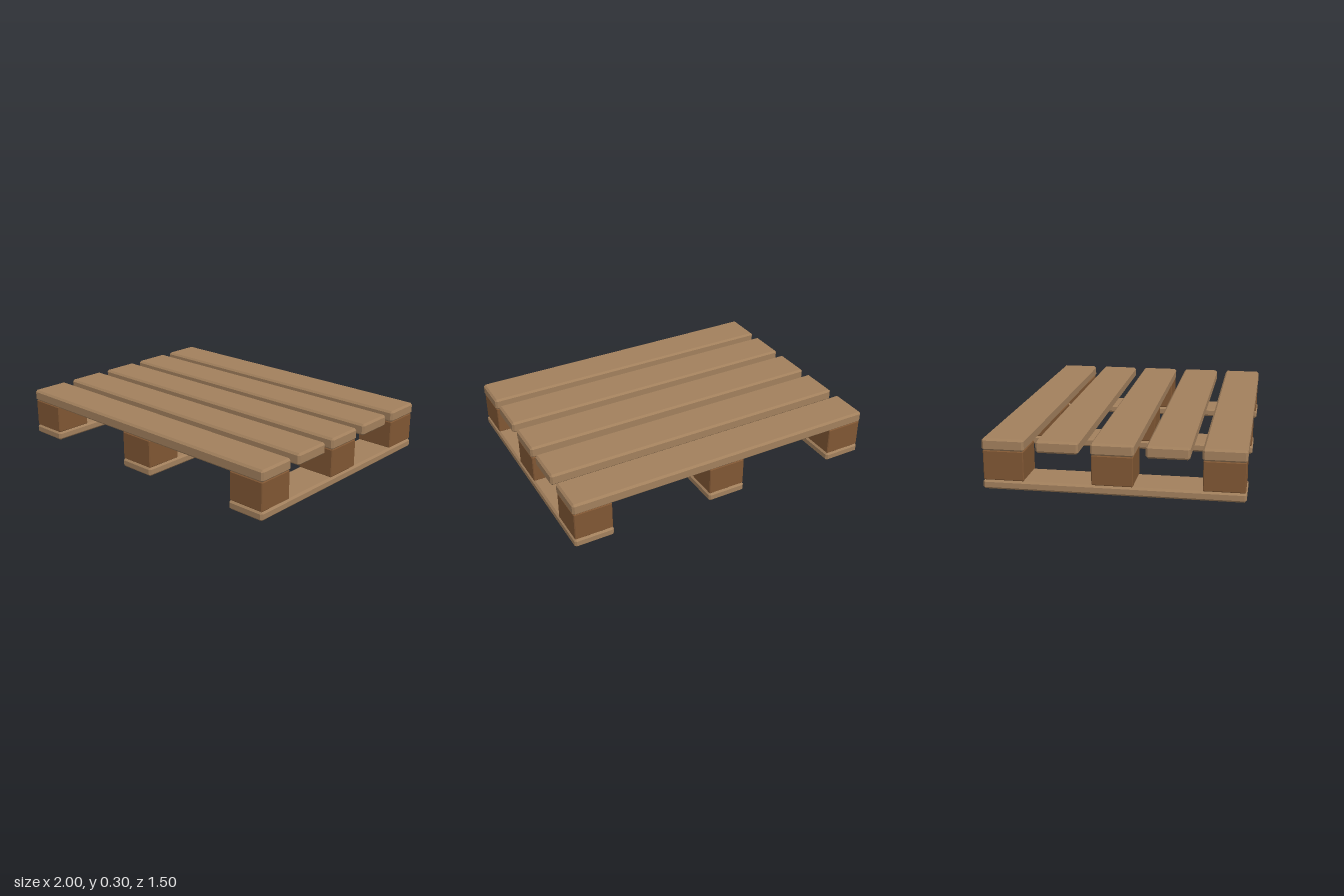
import * as THREE from 'three';
import { ConvexGeometry } from 'three/addons/geometries/ConvexGeometry.js';

// Box with every edge chamfered by c: 24 corner points, flat faces
function chamferedBox(w, h, d, c) {
  const points = [];
  for (const sx of [-1, 1]) for (const sy of [-1, 1]) for (const sz of [-1, 1]) {
    const x = w / 2, y = h / 2, z = d / 2;
    points.push(
      new THREE.Vector3(sx * x, sy * (y - c), sz * (z - c)),
      new THREE.Vector3(sx * (x - c), sy * y, sz * (z - c)),
      new THREE.Vector3(sx * (x - c), sy * (y - c), sz * z)
    );
  }
  return new ConvexGeometry(points);
}

export function createModel() {
  const pallet = new THREE.Group();
  pallet.name = 'pallet';

  const boardWood = new THREE.MeshStandardMaterial({ color: 0xa17f5c });
  boardWood.name = 'light board wood';
  const blockWood = new THREE.MeshStandardMaterial({ color: 0x7f5633 });
  blockWood.name = 'dark block wood';

  const add = (name, geometry, material, x, y, z) => {
    const mesh = new THREE.Mesh(geometry, material);
    mesh.name = name;
    mesh.position.set(x, y, z);
    pallet.add(mesh);
  };

  const columns = [-0.877, 0, 0.877];
  const rows = [-0.625, 0, 0.625];

  // Five deck boards running left to right
  const deckBoard = chamferedBox(2, 0.072, 0.246, 0.012);
  for (let i = -2; i <= 2; i++) add('deckBoard', deckBoard, boardWood, 0, 0.264, i * 0.3125);

  // Three runners on the ground, front to back
  const runner = chamferedBox(0.246, 0.055, 1.496, 0.012);
  for (const x of columns) add('bottomRunner', runner, boardWood, x, 0.0275, 0);

  // Nine spacer blocks between runners and deck
  const block = chamferedBox(0.236, 0.175, 0.236, 0.005);
  for (const x of columns) for (const z of rows) add('spacerBlock', block, blockWood, x, 0.142, z);

  return pallet;
}
